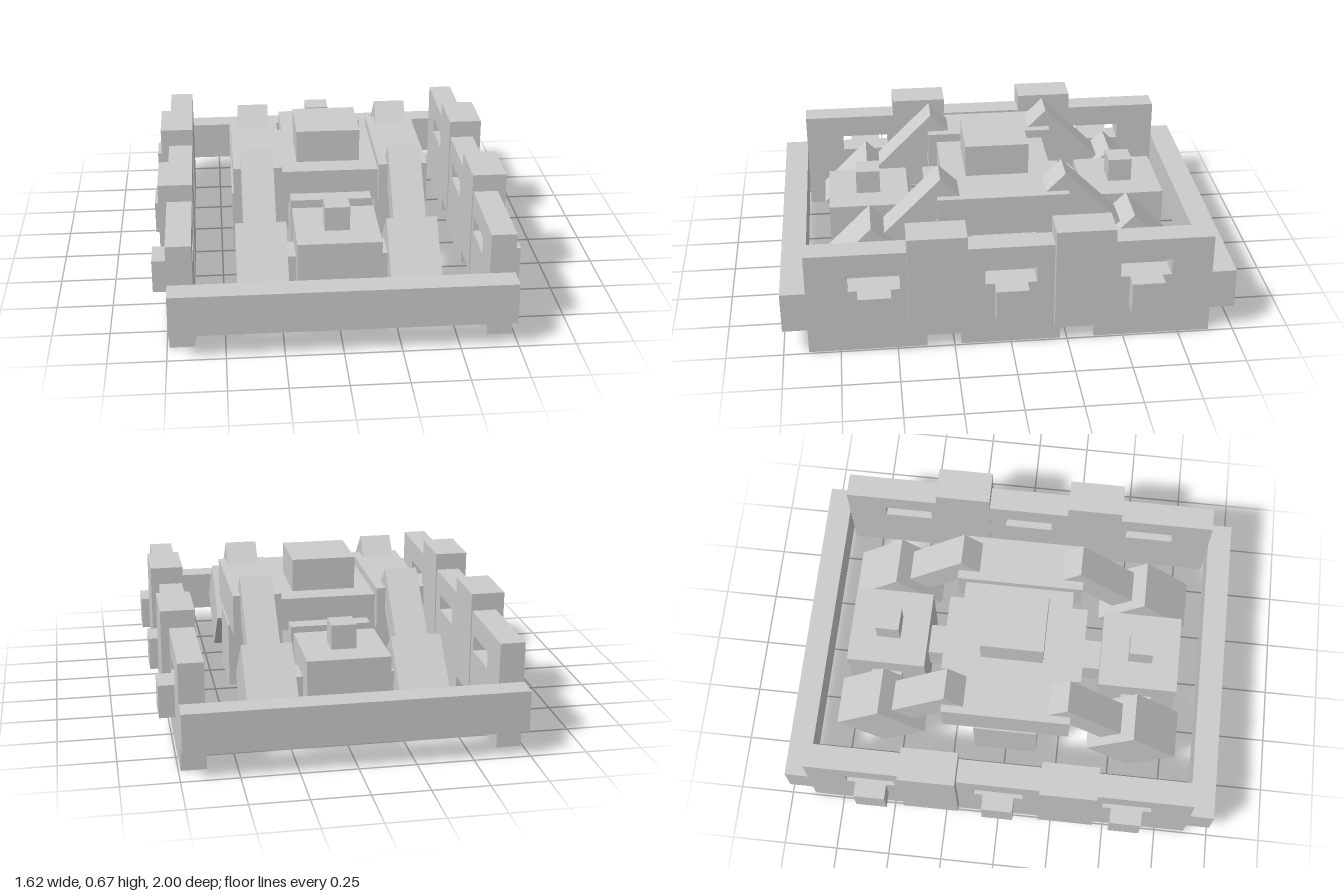
import * as THREE from 'three';

export function createModel() {
  const root = new THREE.Group();
  const mat = new THREE.MeshStandardMaterial({ color: 0xcccccc, flatShading: true });

  const add = (name, geo) => {
    const mesh = new THREE.Mesh(geo, mat);
    mesh.name = name;
    root.add(mesh);
    return mesh;
  };
  // Box given by its lower and upper limits on each axis
  const box = (name, x0, x1, y0, y1, z0, z1) => {
    const mesh = add(name, new THREE.BoxGeometry(x1 - x0, y1 - y0, z1 - z0));
    mesh.position.set((x0 + x1) / 2, (y0 + y1) / 2, (z0 + z1) / 2);
    return mesh;
  };
  // Box around a centre x on either side
  const sideBox = (name, s, x0, x1, ...rest) =>
    s > 0 ? box(name, x0, x1, ...rest) : box(name, -x1, -x0, ...rest);

  // Side frame profile in (z, y), with bottom notches and three windows
  const frameShape = new THREE.Shape([
    [-0.89, 0], [-0.37, 0], [-0.37, 0.1], [-0.22, 0.1], [-0.22, 0], [0.22, 0],
    [0.22, 0.1], [0.37, 0.1], [0.37, 0], [0.89, 0], [0.89, 0.48], [-0.89, 0.48],
  ].map(([z, y]) => new THREE.Vector2(z, y)));
  const axleZ = [-0.595, 0, 0.595];
  for (const z of axleZ) {
    frameShape.holes.push(new THREE.Path([
      [z - 0.113, 0.3], [z - 0.113, 0.375], [z + 0.113, 0.375], [z + 0.113, 0.3],
    ].map(([a, b]) => new THREE.Vector2(a, b))));
  }

  for (const s of [-1, 1]) {
    const frame = add('sideFrame', new THREE.ExtrudeGeometry(frameShape, { depth: 0.11, bevelEnabled: false }));
    frame.rotation.y = -Math.PI / 2;
    frame.position.x = s > 0 ? 0.74 : -0.63;

    for (const z of axleZ) {
      sideBox('axleBox', s, 0.65, 0.81, 0.15, 0.3, z - 0.072, z + 0.072);
    }
    // Four-sided wheels: tilted at the ends, level in the middle
    for (const z of axleZ) {
      const side = 0.297;
      const wheel = sideBox('wheel', s, 0.22, z ? 0.443 : 0.447, 0.225 - side / 2, 0.225 + side / 2, z - side / 2, z + side / 2);
      if (z) wheel.rotation.x = Math.PI / 4;
    }
    sideBox('wheelCover', s, 0.22, 0.44, 0.37, 0.56, -0.295, 0.295);

    for (const e of [-1, 1]) {
      sideBox('column', s, 0.625, 0.777, 0.08, 0.56, e > 0 ? 0.19 : -0.45, e > 0 ? 0.45 : -0.19);
      // Sloping arm from the cover down to the end wheel
      const arm = add('slopingArm', new THREE.BoxGeometry(0.145, 0.127, 0.361));
      arm.position.set(s * 0.333, 0.4725, e * 0.3625);
      arm.rotation.x = e * Math.PI / 4;
    }
  }

  // End beams, motors, their caps and couplings to the centre
  for (const e of [-1, 1]) {
    const endBox = (name, hx, y0, y1, z0, z1) =>
      e > 0 ? box(name, -hx, hx, y0, y1, z0, z1) : box(name, -hx, hx, y0, y1, -z1, -z0);
    endBox('endBeam', 0.74, 0.115, 0.3, 0.89, 1);
    endBox('motor', 0.183, 0.04, 0.41, 0.41, 0.777);
    endBox('motorCap', 0.055, 0.41, 0.52, 0.54, 0.65);
    endBox('coupling', 0.07, 0.15, 0.3, 0.32, 0.42);
  }
  for (const z of axleZ) box('axle', -0.23, 0.23, 0.15, 0.3, z - 0.072, z + 0.072);

  // Centre body with bolster and pivot block
  box('centreBody', -0.183, 0.183, 0.04, 0.41, -0.33, 0.33);
  box('bolster', -0.225, 0.225, 0.37, 0.52, -0.255, 0.255);
  box('pivotBlock', -0.145, 0.145, 0.52, 0.67, -0.145, 0.145);

  return root;
}
